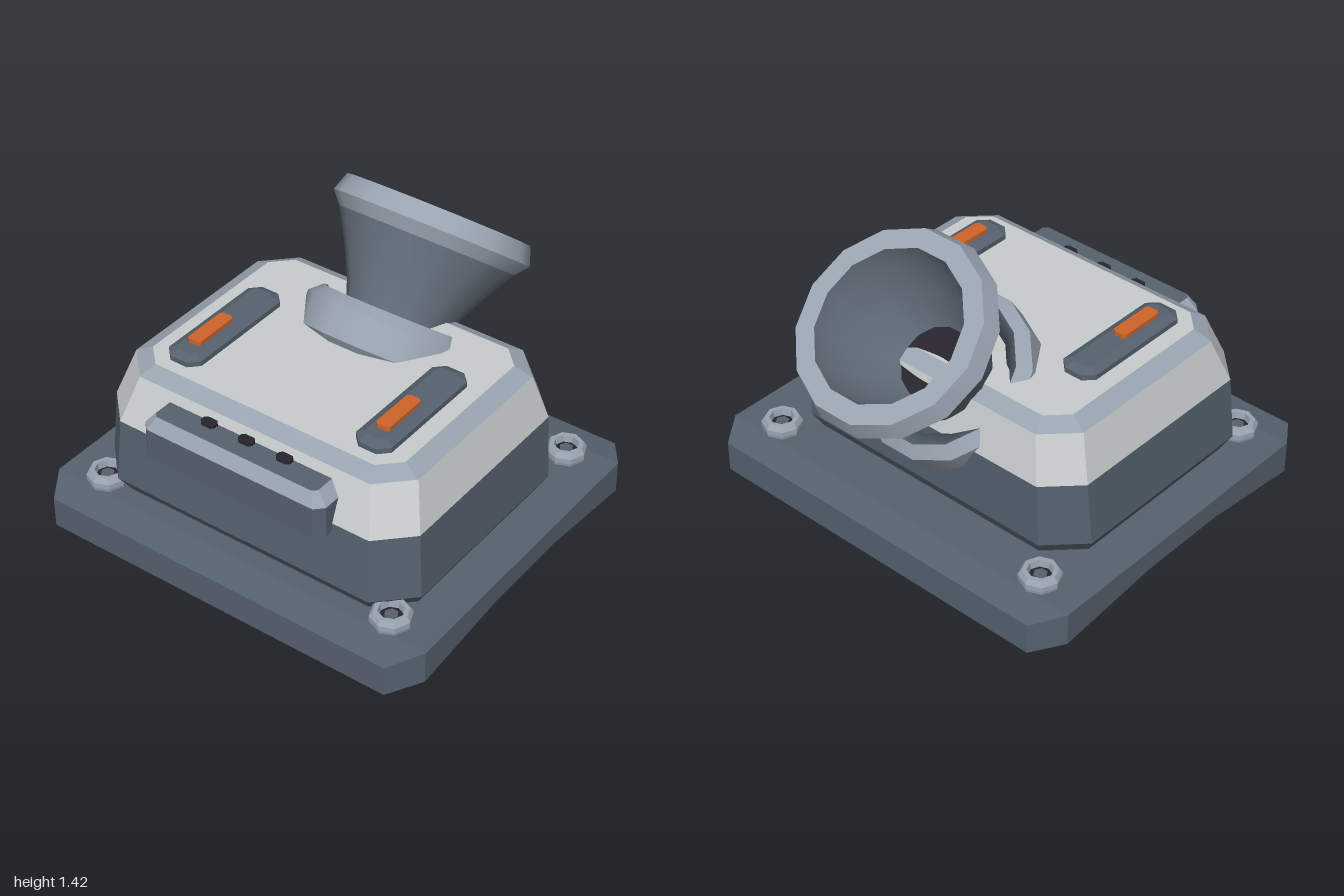
import * as THREE from 'three';

const mat = (name, color, side = THREE.FrontSide) => {
  const m = new THREE.MeshStandardMaterial({ color, side });
  m.name = name;
  return m;
};

// Flat-shaded skin through rings of points, with optional end caps
function loft(rings, { bottom = false, top = false, closed = true } = {}) {
  const pos = [];
  const tri = (...pts) => pts.forEach((p) => pos.push(p[0], p[1], p[2]));
  const n = rings[0].length;
  for (let r = 0; r + 1 < rings.length; r++) {
    const lo = rings[r], hi = rings[r + 1];
    for (let i = 0; i < (closed ? n : n - 1); i++) {
      const j = (i + 1) % n;
      tri(lo[i], lo[j], hi[j]);
      tri(lo[i], hi[j], hi[i]);
    }
  }
  const first = rings[0], last = rings[rings.length - 1];
  for (let i = 1; i + 1 < n; i++) {
    if (bottom) tri(first[0], first[i + 1], first[i]);
    if (top) tri(last[0], last[i], last[i + 1]);
  }
  const g = new THREE.BufferGeometry();
  g.setAttribute('position', new THREE.Float32BufferAttribute(pos, 3));
  g.computeVertexNormals();
  return g;
}

// Rectangle with cut corners at height y
const octagon = (y, x0, x1, hz, c) => [
  [x0 + c, y, hz], [x1 - c, y, hz], [x1, y, hz - c], [x1, y, c - hz],
  [x1 - c, y, -hz], [x0 + c, y, -hz], [x0, y, c - hz], [x0, y, hz - c],
];

const lathe = (pts, sides) =>
  new THREE.LatheGeometry(pts.map(([r, y]) => new THREE.Vector2(r, y)), sides);

export function createModel() {
  const slate = mat('slate', 0x56626e);
  const slateShell = mat('slateShell', 0x56626e, THREE.DoubleSide);
  const white = mat('offWhite', 0xc8cccc);
  const steel = mat('steel', 0x9aa4b1);
  const hornSteel = mat('hornSteel', 0x66717d);
  const black = mat('nearBlack', 0x28242e);
  const orange = mat('orange', 0xd0642a);

  const model = new THREE.Group();
  model.name = 'alarmHorn';
  const add = (name, geometry, material, parent = model) => {
    const m = new THREE.Mesh(geometry, material);
    m.name = name;
    parent.add(m);
    return m;
  };

  // Arched mounting plate, an open shell: x, half depth, bottom, top
  const plate = [
    [-1, 0.9, 0, 0.15], [-0.85, 1, 0.015, 0.175], [-0.32, 1, 0.07, 0.175],
    [0.14, 1, 0.07, 0.175], [0.67, 1, 0.015, 0.175], [0.81, 0.9, 0, 0.15],
  ].map(([x, z, b, t]) => [[x, b, -z], [x, t, -z], [x, t, z], [x, b, z]]);
  add('basePlate', loft(plate, { closed: false, bottom: true, top: true }), slateShell);

  // Housing in stacked colour bands
  const body = [
    octagon(0.1, -0.735, 0.42, 0.77, 0.14),
    octagon(0.18, -0.765, 0.45, 0.8, 0.15),
    octagon(0.25, -0.81, 0.49, 0.84, 0.16),
    octagon(0.56, -0.785, 0.49, 0.815, 0.15),
    octagon(0.775, -0.7, 0.435, 0.75, 0.14),
    octagon(0.815, -0.63, 0.36, 0.67, 0.09),
  ];
  add('lowerHousing', loft(body.slice(0, 4)), slate);
  add('upperHousing', loft(body.slice(3, 5)), white);
  add('housingBevel', loft(body.slice(4, 6)), steel);
  add('housingTop', loft([body[5]], { top: true }), white);
  add('housingUnderside', loft([body[0]], { bottom: true }), black);

  // Indicator pads with lamps
  for (const s of [1, -1]) {
    const pad = new THREE.Group();
    pad.name = s > 0 ? 'frontIndicator' : 'backIndicator';
    pad.position.z = s * 0.5;
    model.add(pad);
    add('indicatorPad', loft([
      octagon(0.81, -0.57, 0.07, 0.09, 0.045),
      octagon(0.84, -0.57, 0.07, 0.09, 0.045),
      octagon(0.86, -0.53, 0.03, 0.052, 0.02),
    ], { top: true }), slate, pad);
    add('indicatorLamp', loft([
      octagon(0.855, -0.47, -0.23, 0.035, 0.012),
      octagon(0.88, -0.47, -0.23, 0.035, 0.012),
    ], { top: true }), orange, pad);
  }

  // Side control box with three buttons
  const box = [
    octagon(0.52, -0.865, -0.68, 0.48, 0.04),
    octagon(0.67, -0.865, -0.68, 0.48, 0.04),
    octagon(0.73, -0.83, -0.7, 0.43, 0.02),
  ];
  add('controlBox', loft(box.slice(0, 2), { bottom: true }), slate);
  add('controlBoxBevel', loft(box.slice(1)), steel);
  add('controlBoxTop', loft([box[2]], { top: true }), slate);
  for (const z of [-0.2, 0, 0.2]) {
    add('button', loft([
      octagon(0.7, -0.76, -0.71, 0.037, 0.014),
      octagon(0.745, -0.76, -0.71, 0.037, 0.014),
    ], { top: true }), black).position.z = z;
  }

  // Corner nuts with recessed bolts
  const nut = lathe([
    [0.09, 0.17], [0.095, 0.19], [0.095, 0.215], [0.08, 0.238], [0.058, 0.238], [0.05, 0.19],
  ], 8).toNonIndexed();
  nut.computeVertexNormals();
  const bolt = lathe([[0, 0.14], [0.055, 0.14], [0.055, 0.205], [0, 0.205]], 8).toNonIndexed();
  bolt.computeVertexNormals();
  const head = new THREE.CylinderGeometry(0.032, 0.032, 0.02, 6);
  for (const x of [-0.775, 0.585]) {
    for (const z of [-0.775, 0.775]) {
      const g = new THREE.Group();
      g.name = 'cornerNut';
      g.position.set(x, 0, z);
      model.add(g);
      add('nut', nut, steel, g);
      add('bolt', bolt, black, g);
      add('boltTip', head, slate, g).position.y = 0.205;
    }
  }

  // Tilted horn; local y runs along its axis
  const horn = new THREE.Group();
  horn.name = 'horn';
  horn.position.set(0.605, 1.085, 0);
  horn.rotation.z = -0.679;
  model.add(horn);
  const SIDES = 14;
  const sections = [
    ['neck', hornSteel, [[0.18, -0.68], [0.19, -0.5], [0.24, -0.42]]],
    ['bell', hornSteel, [[0.24, -0.42], [0.275, -0.33], [0.335, -0.21], [0.42, -0.06]]],
    ['rimBack', steel, [[0.42, -0.06], [0.47, 0]]],
    ['rimEdge', steel, [[0.47, 0], [0.44, 0.087]]],
    ['rimFace', steel, [[0.44, 0.087], [0.35, 0.087]]],
    ['bellInside', hornSteel, [[0.35, 0.087], [0.33, -0.02], [0.26, -0.2], [0.17, -0.36]]],
    ['throat', black, [[0.17, -0.36], [0, -0.38]]],
    // Collar half sunk into the housing
    ['collarBack', steel, [[0.3, -0.66], [0.4, -0.6]]],
    ['collarSide', steel, [[0.4, -0.6], [0.41, -0.46]]],
    ['collarBevel', steel, [[0.41, -0.46], [0.355, -0.41]]],
    ['collarInside', slate, [[0.355, -0.41], [0.285, -0.47], [0.285, -0.66]]],
  ];
  for (const [name, material, pts] of sections) add(name, lathe(pts, SIDES), material, horn);

  return model;
}
